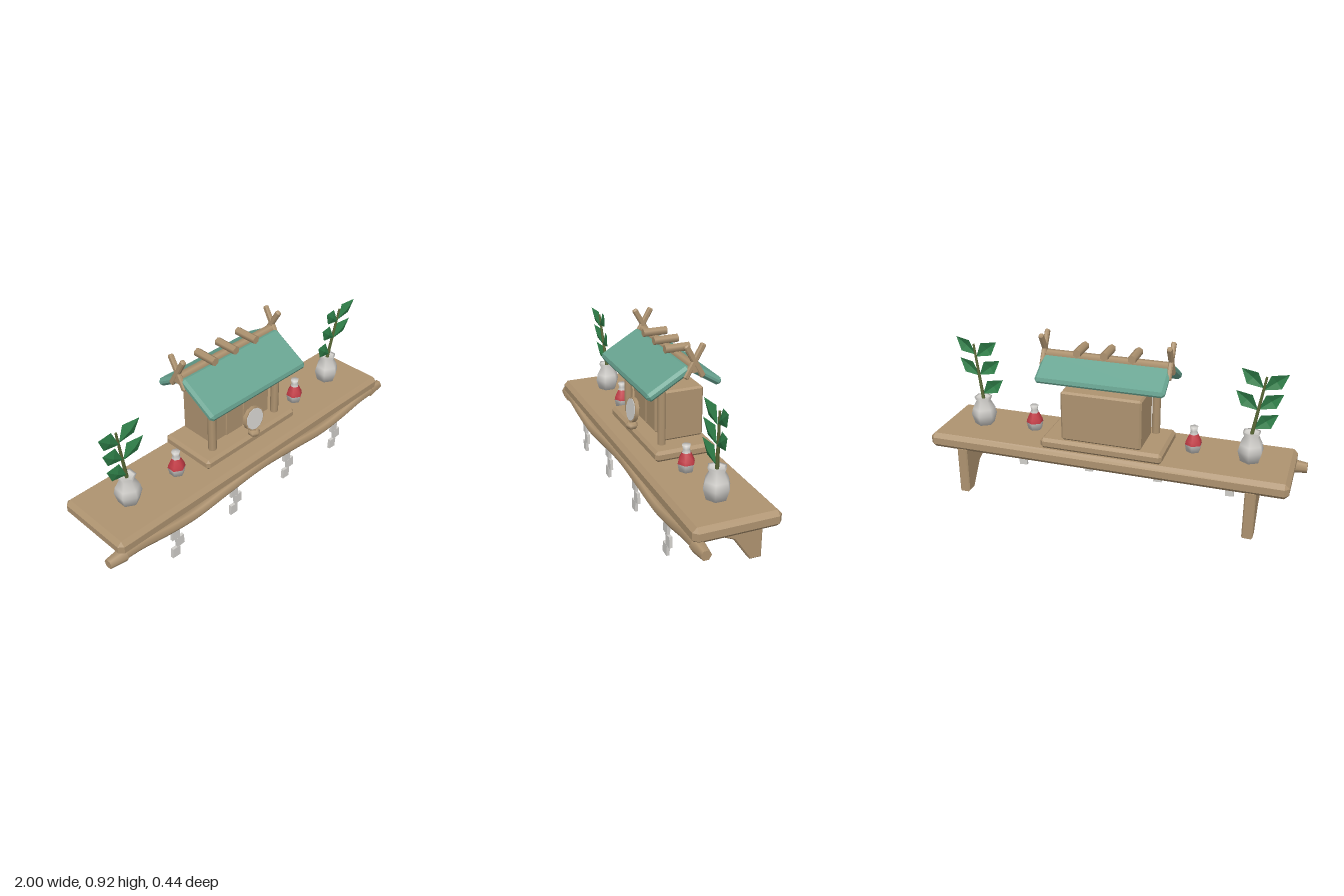
import * as THREE from 'three';
import { ConvexGeometry } from 'three/addons/geometries/ConvexGeometry.js';

const mat = (name, color, extra = {}) => {
  const m = new THREE.MeshStandardMaterial({ color, ...extra });
  m.name = name;
  return m;
};

export function createModel() {
  const wood = mat('wood', 0xae9370);
  const teal = mat('roof teal', 0x68a491);
  const white = mat('ceramic white', 0xd2d0cc, { side: THREE.DoubleSide });
  const red = mat('band red', 0xc43c46, { side: THREE.DoubleSide });
  const green = mat('leaf green', 0x2f8049, { side: THREE.DoubleSide });
  const olive = mat('stem olive', 0x5c6b38);

  const model = new THREE.Group();
  const add = (name, geo, material, x = 0, y = 0, z = 0, parent = model) => {
    const m = new THREE.Mesh(geo, material);
    m.name = name;
    m.position.set(x, y, z);
    parent.add(m);
    return m;
  };

  // box with cut edges
  const chamferBox = (w, h, d, c) => {
    const pts = [];
    for (const sx of [-1, 1]) for (const sy of [-1, 1]) for (const sz of [-1, 1])
      for (let k = 0; k < 3; k++)
        pts.push(new THREE.Vector3(
          sx * (w / 2 - (k === 0 ? 0 : c)),
          sy * (h / 2 - (k === 1 ? 0 : c)),
          sz * (d / 2 - (k === 2 ? 0 : c))));
    return new ConvexGeometry(pts);
  };
  const lathe = (pts) => new THREE.LatheGeometry(pts.map(p => new THREE.Vector2(...p)), 6);

  // shelf board
  add('shelf', chamferBox(1.89, 0.08, 0.43, 0.022), wood, 0, 0.295, -0.005);

  // brackets, profile drawn in (-z, y)
  const side = new THREE.Shape([[-0.115, 0.255], [-0.1, 0.215], [0.07, 0.14], [0.155, 0.016], [0.205, 0.016], [0.205, 0.255]]
    .map(p => new THREE.Vector2(...p)));
  const bracketGeo = new THREE.ExtrudeGeometry(side, {
    depth: 0.043, bevelEnabled: true, bevelThickness: 0.006, bevelSize: 0.006, bevelSegments: 1 });
  bracketGeo.translate(0, 0, -0.0215).rotateY(Math.PI / 2);
  for (const s of [-1, 1]) add('bracket', bracketGeo, wood, s * 0.765, 0, 0);

  // wavy rope with knotted ends
  const ropePts = [[-0.95, 0.242], [-0.82, 0.238], [-0.65, 0.212], [-0.48, 0.198], [-0.25, 0.217], [0, 0.234],
    [0.25, 0.217], [0.48, 0.198], [0.65, 0.212], [0.82, 0.238], [0.95, 0.242]];
  const rope = new THREE.CatmullRomCurve3(ropePts.map(([x, y]) => new THREE.Vector3(x, y, 0.18)));
  add('rope', new THREE.TubeGeometry(rope, 48, 0.03, 6), wood);
  for (const s of [-1, 1]) {
    const end = add('ropeEnd', new THREE.CylinderGeometry(0.026, 0.038, 0.09, 6), wood, s * 0.955, 0.242, 0.18);
    end.rotation.z = -s * Math.PI / 2;
  }

  // folded paper streamers
  [[-0.6, 0], [-0.2, 0.02], [0.2, 0.02], [0.6, 0]].forEach(([x, lift]) => {
    [-0.006, 0.02, -0.01].forEach((dx, i) => {
      const p = add('paperStreamer', new THREE.BoxGeometry(0.046, 0.057, 0.016), white,
        x + dx, 0.151 + lift - i * 0.058, 0.182);
      p.rotation.z = 0.06 * (i % 2 ? 1 : -1);
    });
  });

  // shrine house
  const shrine = new THREE.Group();
  shrine.name = 'shrine';
  model.add(shrine);
  const part = (name, geo, m, x, y, z) => add(name, geo, m, x, y, z, shrine);
  part('plinth', chamferBox(0.64, 0.056, 0.32, 0.015), wood, 0, 0.362, -0.04);
  part('house', chamferBox(0.42, 0.265, 0.21, 0.01), wood, 0, 0.522, -0.075);
  for (const s of [-1, 1]) {
    part('door', chamferBox(0.114, 0.21, 0.018, 0.003), wood, s * 0.06, 0.51, 0.034);
    part('post', new THREE.CylinderGeometry(0.022, 0.022, 0.28, 8), wood, s * 0.227, 0.527, 0.053);
  }

  // roof slabs
  const front = part('frontRoof', chamferBox(0.66, 0.045, 0.25, 0.014), teal, 0, 0.738, 0.056);
  front.rotation.x = 0.53;
  const back = part('backRoof', chamferBox(0.66, 0.04, 0.18, 0.014), teal, 0, 0.754, -0.139);
  back.rotation.x = -0.55;

  // ridge log, cross logs and crossed finials
  part('ridgeLog', new THREE.CylinderGeometry(0.026, 0.026, 0.67, 6), wood, 0, 0.804, -0.068)
    .rotation.z = Math.PI / 2;
  for (const x of [-0.145, -0.005, 0.135])
    part('crossLog', new THREE.CylinderGeometry(0.022, 0.022, 0.13, 6), wood, x, 0.844, -0.065)
      .rotation.x = Math.PI / 2;
  for (const s of [-1, 1]) for (const t of [-1, 1])
    part('finial', chamferBox(0.024, 0.188, 0.028, 0.006), wood, s * 0.325, 0.836, -0.07)
      .rotation.x = t * 0.52;

  // round mirror leaning on a small stand
  const mirror = new THREE.Group();
  mirror.name = 'mirror';
  mirror.position.set(0, 0.494, 0.117);
  mirror.rotation.x = -0.15;
  shrine.add(mirror);
  add('mirrorFrame', new THREE.CylinderGeometry(0.065, 0.065, 0.02, 12), wood, 0, 0, 0, mirror).rotation.x = Math.PI / 2;
  add('mirrorFace', new THREE.CylinderGeometry(0.058, 0.058, 0.004, 12), white, 0, 0, 0.011, mirror).rotation.x = Math.PI / 2;
  part('mirrorStand', lathe([[0, -0.016], [0.024, -0.016], [0.032, -0.006], [0.032, 0.006], [0.022, 0.016], [0, 0.016]]),
    wood, 0, 0.409, 0.122);
  part('mirrorNeck', new THREE.CylinderGeometry(0.012, 0.014, 0.025, 6), wood, 0, 0.428, 0.122);

  // leaf: folded kite from base to tip
  const leaf = (s) => {
    const g = new THREE.BufferGeometry();
    const v = [[0, 0, 0], [s * 0.032, 0.08, -0.006], [s * 0.115, 0.088, 0.012], [s * 0.085, 0.014, 0.002], [s * 0.058, 0.044, 0.014]];
    const order = [0, 1, 4, 1, 2, 4, 2, 3, 4, 3, 0, 4].map((_, i, a) => a[s < 0 ? i : a.length - 1 - i]);
    g.setAttribute('position', new THREE.Float32BufferAttribute(order.flatMap(i => v[i]), 3));
    g.computeVertexNormals();
    return g;
  };

  for (const s of [-1, 1]) {
    // vase
    add('vase', lathe([[0, 0], [0.052, 0], [0.068, 0.055], [0.06, 0.09], [0.038, 0.132], [0.048, 0.155], [0.036, 0.152], [0, 0.14]]),
      white, s * 0.725, 0.335, 0);

    // leaning sprig
    const a = new THREE.Vector3(s * 0.722, 0.46, 0), b = new THREE.Vector3(s * 0.772, 0.775, 0.022);
    const stem = add('stem', new THREE.CylinderGeometry(0.006, 0.01, a.distanceTo(b), 5), olive);
    stem.position.lerpVectors(a, b, 0.5);
    stem.quaternion.setFromUnitVectors(new THREE.Vector3(0, 1, 0), b.clone().sub(a).normalize());
    [0.5, 0.6, 0.605, 0.715, 0.705].forEach((y, i) => {
      const p = a.clone().lerp(b, (y - a.y) / (b.y - a.y));
      add('leaf', leaf(i % 2 ? 1 : -1), green, p.x, p.y, p.z + 0.006);
    });

    // small banded bottle
    const x = s * 0.434, z = 0.014;
    add('bottleBase', lathe([[0, 0], [0.037, 0], [0.045, 0.04]]), white, x, 0.335, z);
    add('bottleBand', lathe([[0.045, 0.04], [0.041, 0.058], [0.023, 0.095]]), red, x, 0.335, z);
    add('bottleNeck', lathe([[0.023, 0.095], [0.017, 0.112], [0.023, 0.135], [0, 0.132]]), white, x, 0.335, z);
  }
  return model;
}
